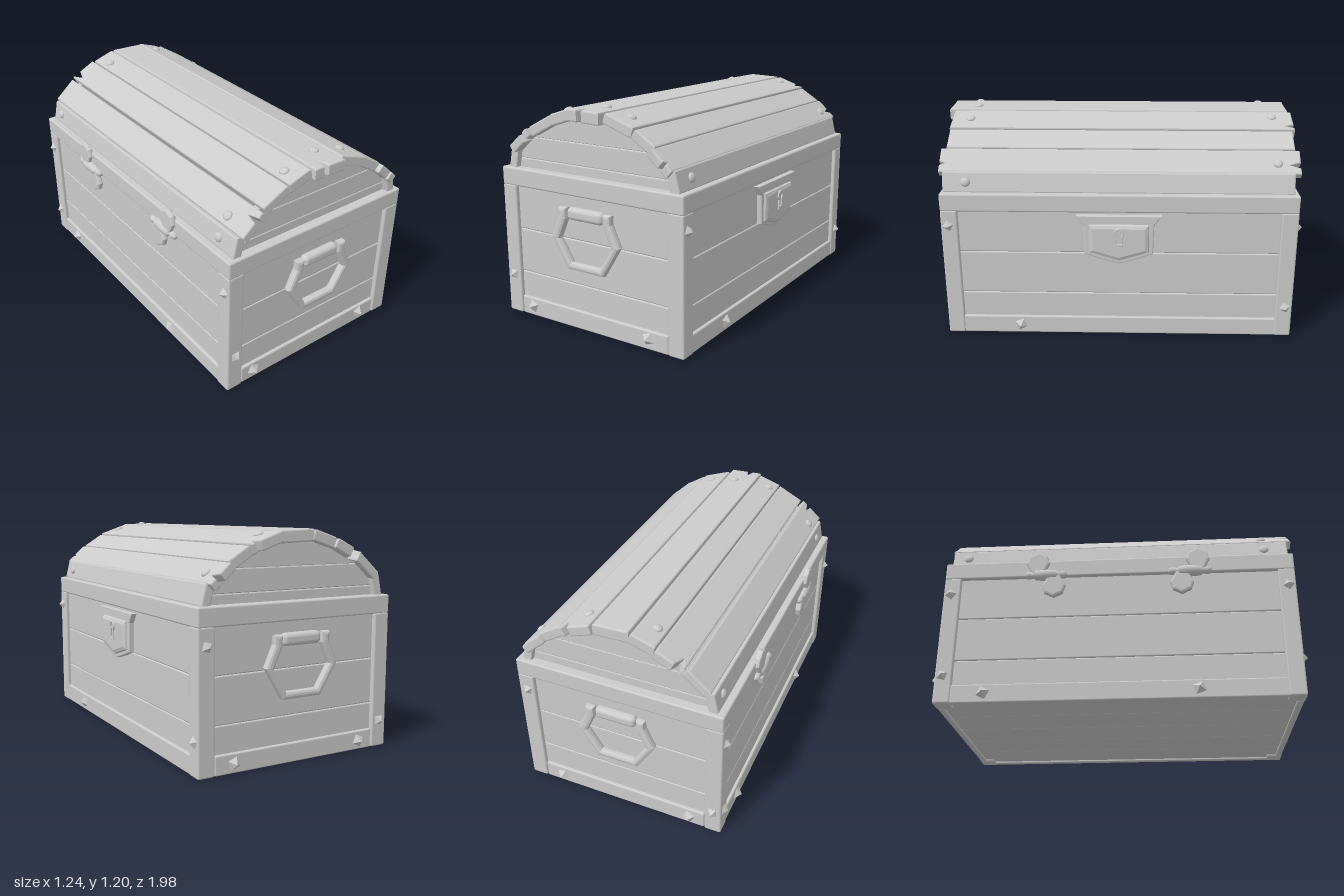
import * as THREE from 'three';
import { RoundedBoxGeometry } from 'three/addons/geometries/RoundedBoxGeometry.js';

const material = new THREE.MeshStandardMaterial({ color: 0xcccccc });
const rad = THREE.MathUtils.degToRad;

export function createModel() {
  const root = new THREE.Group();

  function add(name, geometry, parent = root) {
    const mesh = new THREE.Mesh(geometry, material);
    mesh.name = name;
    parent.add(mesh);
    return mesh;
  }

  // Softly rounded beam given by its limits on each axis
  function beam(name, x0, x1, y0, y1, z0, z1, r = 0.008) {
    const m = add(name, new RoundedBoxGeometry(x1 - x0, y1 - y0, z1 - z0, 2, r));
    m.position.set((x0 + x1) / 2, (y0 + y1) / 2, (z0 + z1) / 2);
    return m;
  }

  // Bevelled slab from an outline, centred on its thickness
  function slab(points, thickness, bevel, holes = []) {
    const shape = new THREE.Shape(points.map(p => new THREE.Vector2(...p)));
    shape.holes.push(...holes);
    const g = new THREE.ExtrudeGeometry(shape, {
      depth: thickness - 2 * bevel, bevelThickness: bevel, bevelSize: bevel,
      bevelOffset: -bevel, bevelSegments: 2, curveSegments: 10,
    });
    return g.translate(0, 0, bevel - thickness / 2);
  }

  // Walls, base rails, rim and corner posts
  const seams = [0.02, 0.245, 0.49, 0.74];
  for (const s of [-1, 1]) {
    const span = (a, b) => (s > 0 ? [a, b] : [-b, -a]);
    for (let i = 0; i < 3; i++) {
      beam('sidePlank', ...span(0.525, 0.563), seams[i], seams[i + 1], -0.9, 0.9);
      beam('endPlank', -0.53, 0.53, seams[i], seams[i + 1], ...span(0.9, 0.938));
    }
    beam('sideRail', ...span(0.545, 0.58), 0, 0.102, -0.875, 0.875);
    beam('endRail', -0.488, 0.488, 0, 0.102, ...span(0.92, 0.955));
    beam('sideRim', ...span(0.485, 0.585), 0.73, 0.83, -0.96, 0.96, 0.01);
    beam('endRim', -0.585, 0.585, 0.73, 0.83, ...span(0.86, 0.96), 0.01);
    for (const z of [[-0.96, -0.868], [0.868, 0.96]])
      beam('cornerPost', ...span(0.49, 0.585), 0, 0.735, ...z, 0.01);
  }

  // Floor boards
  for (let i = 0; i < 5; i++)
    beam('floorBoard', -0.55 + i * 0.22, -0.33 + i * 0.22, 0.012, 0.045, -0.93, 0.93, 0.006);

  // Lid staves: x, y, tilt, width, thickness, front z, back z, notches [end, u, half width, depth]
  const staves = [
    [-0.512, 0.88, 78, 0.115, 0.052, 0.94, -0.94, []],
    [-0.44, 0.983, 41, 0.157, 0.05, 0.965, -0.95, [[1, 0.03, 0.014, 0.06]]],
    [-0.296, 1.073, 27, 0.165, 0.056, 0.95, -0.965, [[-1, -0.05, 0.025, 0.07]]],
    [-0.154, 1.132, 18, 0.137, 0.06, 0.955, -0.95, []],
    [0.01, 1.149, -2, 0.195, 0.065, 0.98, -0.945, [[1, -0.025, 0.016, 0.055]]],
    [0.197, 1.119, -19, 0.178, 0.058, 0.945, -0.96, [[-1, 0.055, 0.018, 0.05]]],
    [0.341, 1.05, -32, 0.137, 0.057, 0.94, -0.945, []],
    [0.452, 0.967, -42, 0.147, 0.05, 0.968, -0.968, [[-1, 0.02, 0.016, 0.055], [1, 0.02, 0.01, 0.03]]],
    [0.515, 0.877, -76, 0.115, 0.052, 0.945, -0.935, []],
  ];
  const staveGroups = staves.map(([x, y, tilt, w, t, front, back, notches]) => {
    const g = new THREE.Group();
    g.name = 'lidStave';
    g.position.set(x, y, 0);
    g.rotation.z = rad(tilt);
    const h = w / 2;
    const cuts = (end, edge, dir) => notches.filter(n => n[0] === end).flatMap(([, u, nw, d]) =>
      [[u - dir * nw, edge], [u, edge + end * d], [u + dir * nw, edge]]);
    const outline = [[-h, -front], ...cuts(1, -front, 1), [h, -front],
      [h, -back], ...cuts(-1, -back, -1), [-h, -back]];
    add('stave', slab(outline, t, 0.008).rotateX(-Math.PI / 2), g);
    root.add(g);
    return g;
  });

  // Domed rivets on the staves: stave, offset across, z
  for (const [i, u, z] of [[3, -0.02, -0.82], [5, -0.03, -0.845], [7, 0.01, -0.845], [1, -0.03, 0.805],
    [3, -0.02, 0.86], [4, 0.03, 0.825], [5, 0, 0.84], [0, 0, -0.85], [0, 0, 0.81], [8, 0, 0.82]]) {
    const m = add('lidRivet', new THREE.SphereGeometry(0.026, 14, 8), staveGroups[i]);
    m.scale.y = 0.6;
    m.position.set(u, staves[i][4] / 2, z);
  }

  // Arched boards closing the lid ends
  const halfWidth = y => 0.52 * Math.sqrt(Math.max(0, 1 - ((y - 0.8) / 0.34) ** 2));
  for (const [y0, y1] of [[0.81, 0.88], [0.88, 1.0], [1.0, 1.138]]) {
    const side = [];
    for (let i = 0; i <= 8; i++) {
      const y = y0 + (y1 - y0) * i / 8;
      side.push([halfWidth(y), y]);
    }
    const outline = [...side, ...side.map(([x, y]) => [-x, y]).reverse()];
    for (const z of [-0.89, 0.89])
      add('lidEndBoard', slab(outline, 0.04, 0.006)).position.z = z;
  }

  // Pyramid studs: position, outward normal, twist
  const up = new THREE.Vector3(0, 1, 0);
  function stud(x, y, z, nx, nz, twist = 45) {
    const geo = new THREE.ConeGeometry(0.038, 0.032, 4).toNonIndexed();
    geo.computeVertexNormals();
    const m = add('stud', geo);
    m.position.set(x + nx * 0.014, y, z + nz * 0.014);
    m.quaternion.setFromUnitVectors(up, new THREE.Vector3(nx, 0, nz));
    m.rotateY(rad(twist));
  }
  for (const [x, y, twist] of [[-0.535, 0.222, 45], [-0.41, 0.057, 20], [0.37, 0.06, 65]])
    stud(x, y, 0.957, 0, 1, twist);
  for (const [x, y, twist] of [[0.535, 0.64, 30], [-0.535, 0.145, 45], [-0.4, 0.05, 20], [0.38, 0.05, 65]])
    stud(x, y, -0.957, 0, -1, twist);
  for (const [z, y, twist] of [[0.92, 0.65, 15], [-0.92, 0.177, 20], [0.55, 0.053, 65]])
    stud(0.582, y, z, 1, 0, twist);
  for (const [z, y, twist] of [[-0.92, 0.635, 10], [-0.92, 0.155, 30], [-0.7, 0.055, 20], [0.42, 0.055, 65], [0.92, 0.635, 10]])
    stud(-0.582, y, z, -1, 0, twist);

  // Drop handles on both ends
  const outer = [[0.168, 0.67], [0.168, 0.622], [0.22, 0.508], [0.115, 0.34]];
  const inner = [[0.095, 0.38], [0.17, 0.5], [0.12, 0.612], [0.12, 0.67]];
  const mirror = pts => pts.map(([x, y]) => [-x, y]).reverse();
  const loop = [...mirror(outer).reverse(), ...outer.slice().reverse(), ...inner.slice().reverse(), ...mirror(inner).reverse()];
  for (const s of [-1, 1]) {
    const handle = new THREE.Group();
    handle.name = 'handle';
    add('handleLoop', slab(loop, 0.046, 0.015), handle).position.z = 0.968;
    const mount = add('handleMount', new RoundedBoxGeometry(0.23, 0.066, 0.055, 4, 0.024), handle);
    mount.position.set(0, 0.642, 0.962);
    handle.rotation.y = s > 0 ? 0 : Math.PI;
    root.add(handle);
  }

  // Lock plate with flared top and keyhole
  const lock = new THREE.Group();
  lock.name = 'lock';
  lock.rotation.y = Math.PI / 2;
  root.add(lock);
  const flange = [[-0.23, 0.715], [-0.19, 0.66], [-0.185, 0.495], [-0.09, 0.462], [0, 0.437],
    [0.09, 0.462], [0.185, 0.495], [0.19, 0.66], [0.23, 0.715]];
  add('lockFlange', slab(flange, 0.05, 0.006), lock).position.z = 0.567;
  const face = [[-0.165, 0.67], [-0.165, 0.505], [0, 0.455], [0.165, 0.505], [0.165, 0.67]];
  add('lockFace', slab(face, 0.06, 0.024), lock).position.z = 0.58;
  const keyhole = k => {
    const pts = [[-0.02 * k, 0.6 - 0.05 * k], [0.02 * k, 0.6 - 0.05 * k]];
    for (let a = -50; a <= 230; a += 20)
      pts.push([0.026 * k * Math.cos(rad(a)), 0.622 + 0.026 * k * Math.sin(rad(a))]);
    return pts;
  };
  const hole = new THREE.Path(keyhole(0.75).map(p => new THREE.Vector2(...p)));
  add('keyhole', slab(keyhole(1.12), 0.014, 0.002, [hole]), lock).position.z = 0.611;

  // Butterfly hinges
  const petal = [[-0.03, 0], [0.03, 0], [0.065, 0.07], [0.05, 0.115], [0, 0.14], [-0.05, 0.115], [-0.065, 0.07]];
  for (const s of [-1, 1]) {
    const hinge = new THREE.Group();
    hinge.name = 'hinge';
    hinge.position.set(-0.588, 0.735, s * 0.395);
    root.add(hinge);
    const barrel = [[0, -0.12], [0.018, -0.112], [0.022, -0.09], [0.016, -0.07], [0.028, -0.055], [0.031, 0],
      [0.028, 0.055], [0.016, 0.07], [0.022, 0.09], [0.018, 0.112], [0, 0.12]];
    add('hingeBarrel', new THREE.LatheGeometry(barrel.map(p => new THREE.Vector2(...p)), 16)
      .rotateX(Math.PI / 2), hinge);
    for (const v of [0, Math.PI]) {
      const leaf = add('hingeLeaf', slab(petal, 0.035, 0.012).rotateY(-Math.PI / 2), hinge);
      leaf.rotation.x = v;
      leaf.position.z = (v ? -1 : 1) * s * 0.045;
    }
  }
  return root;
}
